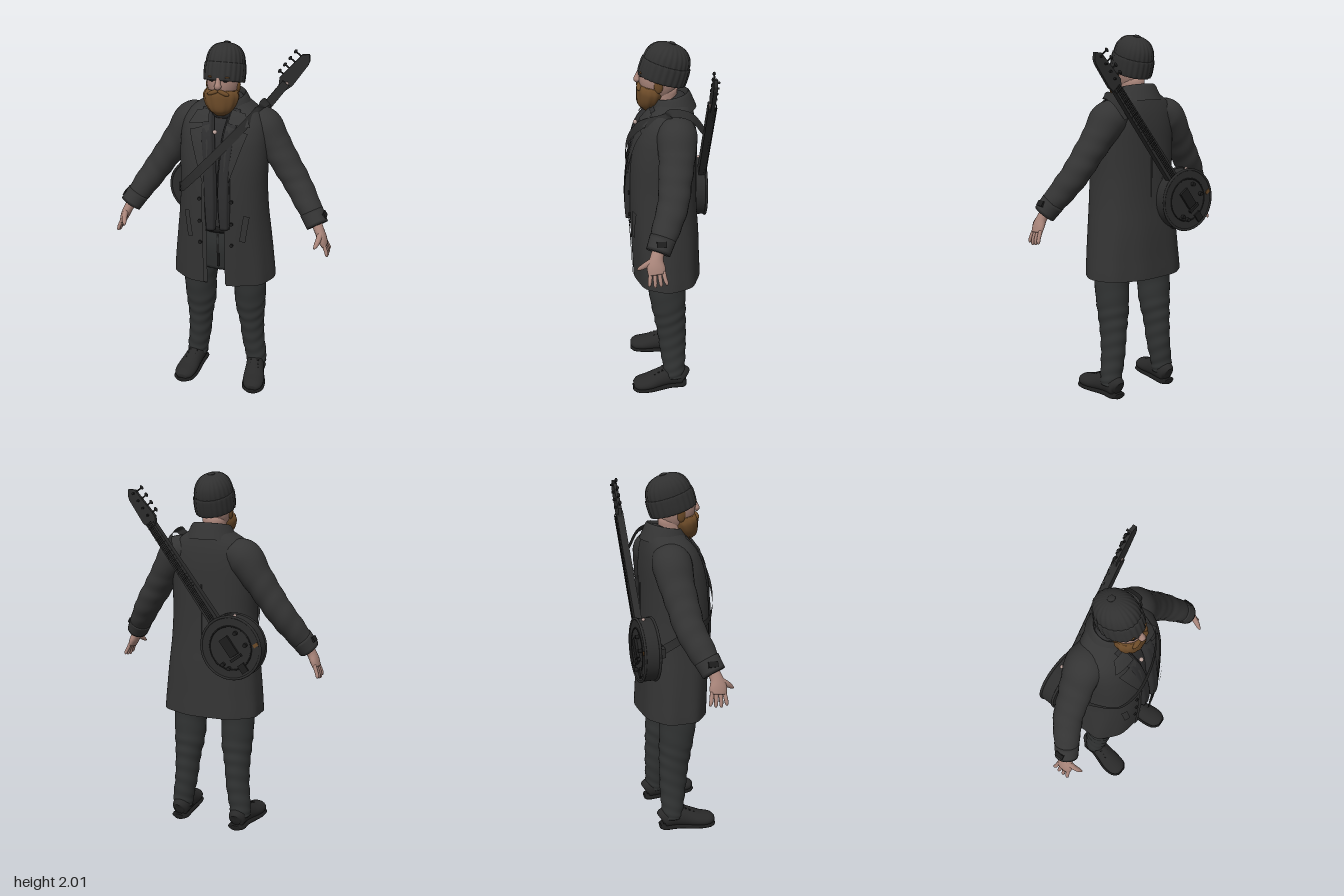
import * as THREE from 'three';
import { mergeVertices } from 'three/addons/utils/BufferGeometryUtils.js';

const mat = (name, color, side = THREE.FrontSide) => new THREE.MeshStandardMaterial({ name, color, side });
const V = (x, y, z) => new THREE.Vector3(x, y, z);

// Smooth surface from a rule fn(u, v) -> point
function grid(fn, nu, nv) {
  const pos = [], idx = [];
  for (let j = 0; j <= nv; j++) for (let i = 0; i <= nu; i++) pos.push(...fn(i / nu, j / nv).toArray());
  for (let j = 0; j < nv; j++) for (let i = 0; i < nu; i++) {
    const a = j * (nu + 1) + i, c = a + nu + 1;
    idx.push(a, a + 1, c + 1, a, c + 1, c);
  }
  let g = new THREE.BufferGeometry();
  g.setAttribute('position', new THREE.Float32BufferAttribute(pos, 3));
  g.setIndex(idx);
  g = mergeVertices(g, 1e-5);
  g.computeVertexNormals();
  return g;
}

// Catmull-Rom blend of table rows
function blend(rows, i, f) {
  const at = k => rows[Math.max(0, Math.min(rows.length - 1, k))];
  return rows[0].map((_, c) => {
    const [p, q, r, s] = [at(i - 1)[c], at(i)[c], at(i + 1)[c], at(i + 2)[c]];
    return q + 0.5 * f * (r - p + f * (2 * p - 5 * q + 4 * r - s + f * (3 * (q - r) + s - p)));
  });
}
function sample(rows, t) {
  const k = t * (rows.length - 1), i = Math.min(Math.floor(k), rows.length - 2);
  return blend(rows, i, k - i);
}

// Closed loft through rows of [x, y, z, radiusU, radiusV], capped at both ends
function loft(rows, nu = 20, nv = 24, { ref = V(0, 0, 1), wob = () => 1 } = {}) {
  const centre = t => { const s = sample(rows, t); return V(s[0], s[1], s[2]); };
  return grid((u, v) => {
    const t = Math.min(1, Math.max(0, (v * (nv + 2) - 1) / nv));
    const cap = v < 1e-6 || v > 1 - 1e-6 ? 0 : 1, s = sample(rows, t), a = (u % 1) * Math.PI * 2;
    const tan = centre(Math.min(1, t + 0.01)).sub(centre(Math.max(0, t - 0.01))).normalize();
    const U = tan.clone().cross(ref).normalize(), W = tan.clone().cross(U), k = cap * wob(a, t);
    return centre(t).addScaledVector(U, s[3] * k * Math.cos(a)).addScaledVector(W, s[4] * k * Math.sin(a));
  }, nu, nv + 2);
}

// Coat profile: y, half width, front z, back z, half opening
const COAT = [
  [0.69, 0.287, 0.2, -0.175, 0.055], [0.8, 0.278, 0.205, -0.17, 0.055], [0.95, 0.262, 0.212, -0.165, 0.06],
  [1.1, 0.245, 0.218, -0.155, 0.06], [1.25, 0.236, 0.218, -0.15, 0.055], [1.4, 0.238, 0.208, -0.148, 0.05],
  [1.52, 0.235, 0.185, -0.147, 0.05], [1.6, 0.222, 0.152, -0.14, 0.05], [1.65, 0.188, 0.115, -0.13, 0.05],
  [1.69, 0.13, 0.08, -0.12, 0.05], [1.715, 0.09, 0.06, -0.108, 0.05]];
const SQ = 0.85;
function coatAt(y) {
  let i = 0;
  while (i < COAT.length - 2 && y > COAT[i + 1][0]) i++;
  const f = (y - COAT[i][0]) / (COAT[i + 1][0] - COAT[i][0]);
  return blend(COAT, i, Math.max(0, Math.min(1, f)));
}
// Point on the coat front at x, y
function drape(x, y, off) {
  const [, rx, zf, zb] = coatAt(y), s = Math.pow(Math.min(Math.abs(x) / rx, 0.999), 1 / SQ), zc = (zf + zb) / 2;
  return V(x, y, zc + (zf - zc) * Math.pow(Math.sqrt(1 - s * s), SQ) + off);
}
function coatPoint(u, v) {
  const y = 0.69 + v * 1.025, [, rx, zf, zb, gap] = coatAt(y), zc = (zf + zb) / 2;
  const a0 = Math.asin(Math.pow(gap / rx, 1 / SQ)), a = a0 + u * (2 * Math.PI - 2 * a0);
  const p = n => Math.sign(n) * Math.pow(Math.abs(n), SQ);
  const fold = 1 + 0.015 * Math.max(0, 1 - v * 2) * Math.sin(a * 9);
  return V(rx * fold * p(Math.sin(a)), y, zc + (zf - zc) * fold * p(Math.cos(a)));
}

export function createModel() {
  const root = new THREE.Group();
  root.name = 'travellingMusician';
  const M = {
    coat: mat('coatWool', 0x343434, THREE.DoubleSide), hat: mat('hatKnit', 0x303030), pants: mat('trouserCloth', 0x313333),
    boot: mat('bootLeather', 0x292929), scarf: mat('scarfCloth', 0x2d2d2e), lute: mat('instrumentBlack', 0x2c2c2c, THREE.DoubleSide),
    dark: mat('darkDetail', 0x1c1c1c), skin: mat('skin', 0xa9857a), hair: mat('beardHair', 0x6b4a28), pin: mat('palePin', 0xb9a19a)
  };
  const add = (parent, name, geo, m, x = 0, y = 0, z = 0) => {
    const o = new THREE.Mesh(geo, m);
    o.name = name; o.position.set(x, y, z); parent.add(o);
    return o;
  };
  const box = (w, h, d) => new THREE.BoxGeometry(w, h, d);
  const disc = (r, d, n = 16) => new THREE.CylinderGeometry(r, r, d, n).rotateX(Math.PI / 2);
  // Four-corner cloth piece laid on the coat: bottom left, bottom right, top left, top right
  const patch = (name, m, [a, b, c, d], off) => add(root, name, grid((u, v) => {
    const mix = k => (a[k] * (1 - u) + b[k] * u) * (1 - v) + (c[k] * (1 - u) + d[k] * u) * v;
    return drape(mix(0), mix(1), off);
  }, 8, 12), m);

  // Coat with collar, shirt and hips beneath
  add(root, 'coat', grid(coatPoint, 72, 48), M.coat);
  const COLLAR = [[0.1, 1.67], [0.094, 1.73], [0.098, 1.75], [0.112, 1.735], [0.145, 1.665]];
  add(root, 'coatCollar', grid((u, v) => {
    const [r, y] = sample(COLLAR, v), a = 0.55 + u * (2 * Math.PI - 1.1);
    return V(r * Math.sin(a), y - 0.035 * (1 + Math.cos(a)) / 2, -0.015 + r * 0.92 * Math.cos(a));
  }, 36, 12), M.coat);
  add(root, 'shirt', loft([[0, 0.98, 0.02, 0.19, 0.15], [0, 1.3, 0.025, 0.2, 0.165], [0, 1.5, 0.01, 0.19, 0.15],
    [0, 1.61, -0.01, 0.12, 0.11], [0, 1.65, -0.01, 0.07, 0.08]], 28, 20), M.scarf);
  add(root, 'hips', loft([[0, 1.03, 0.015, 0.195, 0.155], [0, 0.9, 0.015, 0.2, 0.155], [0, 0.75, 0.015, 0.17, 0.12]], 28, 10), M.pants);
  add(root, 'belt', loft([[0, 1.035, 0.015, 0.202, 0.162], [0, 1.0, 0.015, 0.202, 0.162]], 28, 2), M.dark);
  add(root, 'trouserFly', box(0.012, 0.2, 0.008), M.dark, 0, 0.89, 0.168);
  add(root, 'backSeam', box(0.006, 0.45, 0.006), M.coat, 0, 1.2, -0.153);

  for (const s of [1, -1]) {
    const side = s > 0 ? 'left' : 'right', m = rows => rows.map(r => [r[0] * s, ...r.slice(1)]), X = pts => pts.map(p => [p[0] * s, p[1]]);
    // Lapels, coat edge, pocket and buttons
    patch(side + 'Lapel', M.coat, X([[0.045, 1.28], [0.06, 1.28], [0.045, 1.61], [0.155, 1.57]]), 0.012);
    patch(side + 'CollarPoint', M.coat, X([[0.05, 1.62], [0.165, 1.6], [0.06, 1.68], [0.13, 1.66]]), 0.018);
    patch(side + 'CoatEdge', M.coat, X([[0.05, 0.7], [0.075, 0.7], [0.05, 1.3], [0.075, 1.3]]), 0.007);
    patch(side + 'PocketFlap', M.coat, X([[0.13, 0.98], [0.16, 0.97], [0.15, 1.13], [0.18, 1.12]]), 0.012);
    for (const y of [0.95, 1.08, 1.21]) add(root, side + 'CoatButton', disc(0.01, 0.008, 12), M.dark, ...drape(s * 0.088, y, 0.008).toArray());

    // Sleeve and cuff
    const creases = (a, t) => 1 + 0.022 * Math.sin(t * 46 + 2 * Math.cos(a)) * (t > 0.35 ? 1 : 0.25);
    add(root, side + 'Sleeve', loft(m([[0.1, 1.6, -0.03, 0.06, 0.08], [0.19, 1.565, -0.03, 0.1, 0.105], [0.26, 1.475, -0.025, 0.084, 0.095],
      [0.33, 1.37, -0.01, 0.077, 0.086], [0.395, 1.275, 0.005, 0.073, 0.08], [0.46, 1.18, 0.043, 0.067, 0.073], [0.527, 1.08, 0.088, 0.055, 0.058]]), 24, 48, { wob: creases }), M.coat);
    add(root, side + 'Cuff', loft(m([[0.49, 1.137, 0.064, 0.064, 0.068], [0.53, 1.074, 0.092, 0.06, 0.063]]), 24, 4), M.coat);
    add(root, side + 'CuffTab', box(0.012, 0.03, 0.05), M.dark, s * 0.562, 1.135, 0.075).rotation.z = s * 0.55;

    // Hand
    const hand = new THREE.Group();
    hand.name = side + 'Hand'; root.add(hand);
    add(hand, 'palm', loft(m([[0.52, 1.09, 0.085, 0.028, 0.032], [0.542, 1.05, 0.1, 0.026, 0.034], [0.56, 1.01, 0.104, 0.024, 0.046],
      [0.574, 0.975, 0.1, 0.018, 0.044]]), 16, 12), M.skin);
    for (let k = 0; k < 4; k++) {
      const f = k - 1.5, tip = 0.91 + 0.008 * Math.abs(f - 0.3);
      add(hand, 'finger', loft(m([[0.57, 0.99, 0.1 + f * 0.021, 0.011, 0.011], [0.588, 0.95, 0.098 + f * 0.026, 0.01, 0.0105],
        [0.594, tip + 0.01, 0.096 + f * 0.029, 0.009, 0.009], [0.596, tip, 0.096 + f * 0.029, 0.004, 0.004]]), 10, 8), M.skin);
    }
    add(hand, 'thumb', loft(m([[0.55, 1.045, 0.115, 0.016, 0.016], [0.548, 1.02, 0.15, 0.016, 0.015], [0.54, 0.998, 0.178, 0.012, 0.012],
      [0.533, 0.985, 0.195, 0.005, 0.005]]), 10, 10, { ref: V(1, 0, 0) }), M.skin);

    // Trouser leg with folds gathering at the ankle
    add(root, side + 'Leg', loft(m([[0.1, 0.95, 0.01, 0.1, 0.13], [0.125, 0.8, 0.02, 0.105, 0.115], [0.146, 0.65, 0.018, 0.093, 0.106],
      [0.148, 0.5, 0.006, 0.087, 0.094], [0.155, 0.38, -0.006, 0.072, 0.084], [0.163, 0.25, -0.014, 0.065, 0.075],
      [0.18, 0.13, -0.02, 0.061, 0.064], [0.185, 0.07, -0.02, 0.057, 0.06]]), 28, 64,
    { wob: (a, t) => 1 + (t > 0.4 ? 0.03 : 0.008) * Math.sin(t * 70 + 2.5 * Math.sin(a)) }), M.pants);

    // Boot, sole and laces
    const ref = V(0, 1, 0);
    add(root, side + 'Boot', loft(m([[0.18, 0.06, -0.09, 0.026, 0.04], [0.18, 0.068, -0.07, 0.048, 0.058], [0.183, 0.075, 0, 0.05, 0.065],
      [0.192, 0.064, 0.06, 0.054, 0.055], [0.204, 0.047, 0.13, 0.062, 0.042], [0.211, 0.04, 0.19, 0.054, 0.034], [0.213, 0.035, 0.218, 0.026, 0.018]]), 24, 28, { ref }), M.boot);
    add(root, side + 'Sole', loft(m([[0.18, 0.014, -0.094, 0.03, 0.014], [0.18, 0.014, -0.07, 0.052, 0.015], [0.185, 0.014, 0.01, 0.052, 0.015],
      [0.203, 0.014, 0.12, 0.067, 0.015], [0.211, 0.014, 0.19, 0.06, 0.015], [0.213, 0.016, 0.222, 0.03, 0.012]]), 20, 20, { ref }), M.dark);
    for (let k = 0; k < 3; k++) add(root, side + 'Lace', box(0.05, 0.008, 0.01), M.dark, s * (0.19 + k * 0.004), 0.121 - k * 0.011, 0.05 + k * 0.022).rotation.x = 0.4;
  }

  // Scarf round the neck with two hanging tails
  const wrap = add(root, 'scarfWrap', new THREE.TorusGeometry(0.078, 0.032, 14, 36), M.scarf, 0, 1.68, 0.01);
  wrap.rotation.x = Math.PI / 2 + 0.35;
  const rib = a => 1 + 0.12 * Math.sin(a * 5);
  add(root, 'scarfTailRight', loft([[-0.075, 1.67, 0.07, 0.03, 0.02], [-0.055, 1.55, 0.165, 0.035, 0.02], [-0.035, 1.35, 0.205, 0.034, 0.022],
    [-0.027, 1.18, 0.222, 0.032, 0.022], [-0.025, 1.04, 0.222, 0.026, 0.018]], 24, 24, { wob: rib }), M.scarf);
  add(root, 'scarfTailLeft', loft([[0.075, 1.67, 0.07, 0.03, 0.02], [0.06, 1.55, 0.165, 0.035, 0.02], [0.045, 1.35, 0.205, 0.034, 0.022],
    [0.046, 1.18, 0.222, 0.032, 0.022], [0.05, 1.05, 0.222, 0.026, 0.018]], 24, 24, { wob: rib }), M.scarf);
  add(root, 'pendant', new THREE.SphereGeometry(0.012, 12, 8), M.pin, -0.012, 1.575, 0.175);

  // Head, face and beard
  add(root, 'neck', loft([[0, 1.6, 0.03, 0.06, 0.07], [0, 1.78, 0.02, 0.065, 0.07]], 20, 4), M.skin);
  add(root, 'head', new THREE.SphereGeometry(1, 32, 24).scale(0.086, 0.13, 0.106), M.skin, 0, 1.825, 0.048);
  add(root, 'nose', loft([[0, 1.865, 0.142, 0.01, 0.012], [0, 1.83, 0.156, 0.013, 0.016], [0, 1.812, 0.16, 0.019, 0.02], [0, 1.8, 0.154, 0.012, 0.01]], 14, 10), M.skin);
  for (const s of [1, -1]) {
    add(root, 'eye', new THREE.SphereGeometry(1, 12, 8).scale(0.014, 0.005, 0.005), M.dark, s * 0.034, 1.838, 0.145);
    add(root, 'eyebrow', new THREE.SphereGeometry(1, 12, 8).scale(0.021, 0.005, 0.007), M.hair, s * 0.036, 1.857, 0.142);
    add(root, 'sideburn', new THREE.SphereGeometry(1, 12, 10).scale(0.012, 0.04, 0.024), M.hair, s * 0.079, 1.795, 0.055);
    add(root, 'moustache', new THREE.SphereGeometry(1, 12, 8).scale(0.034, 0.012, 0.014), M.hair, s * 0.026, 1.779, 0.153).rotation.z = -s * 0.35;
  }
  add(root, 'beard', loft([[0, 1.645, 0.115, 0.018, 0.018], [0, 1.665, 0.11, 0.05, 0.045], [0, 1.7, 0.106, 0.078, 0.062], [0, 1.74, 0.096, 0.093, 0.073],
    [0, 1.765, 0.09, 0.089, 0.072], [0, 1.778, 0.088, 0.08, 0.063]], 48, 20, { wob: (a, t) => 1 + 0.03 * Math.sin(a * 11 + t * 5) }), M.hair);

  // Ribbed knit hat, tipped back
  const hat = new THREE.Group();
  hat.name = 'knitHat'; hat.position.set(0, 1.86, 0.02); hat.rotation.x = -0.3; root.add(hat);
  const knit = (rows, ribs, depth) => grid((u, v) => {
    const [r, y] = sample(rows, v), a = (u % 1) * Math.PI * 2, k = Math.max(0, r) * (1 + depth * Math.cos(a * ribs));
    return V(0.1 * k * Math.sin(a), y, 0.124 * k * Math.cos(a));
  }, 144, 20);
  add(hat, 'hatCrown', knit([[0.98, -0.03], [1.0, 0.03], [0.97, 0.065], [0.87, 0.095], [0.66, 0.122], [0.36, 0.137], [0, 0.142]], 24, 0.018), M.hat);
  add(hat, 'hatCuff', knit([[0.88, -0.05], [1.02, -0.056], [1.06, -0.03], [1.06, 0.015], [1.03, 0.036], [0.94, 0.036]], 24, 0.018), M.hat);
  add(hat, 'hatTip', new THREE.SphereGeometry(0.02, 14, 8).scale(1, 0.35, 1), M.hat, 0, 0.142, 0);

  // Strap across the chest
  const pts = [V(-0.26, 1.1, -0.15), V(-0.268, 1.15, -0.05), V(-0.25, 1.2, 0.06)];
  for (let k = 0; k <= 8; k++) pts.push(drape(-0.2 + k * 0.0475, 1.245 + k * 0.052, 0.024));
  pts.push(V(0.2, 1.69, 0), V(0.205, 1.67, -0.1), V(0.17, 1.58, -0.17));
  const path = new THREE.CatmullRomCurve3(pts);
  add(root, 'strap', grid((u, v) => {
    const p = path.getPoint(v), n = V(p.x * 0.5, Math.max(0, p.y - 1.6), p.z - 0.02).normalize();
    return p.addScaledVector(path.getTangent(v).cross(n).normalize(), (u - 0.5) * 0.046);
  }, 2, 60), M.lute);

  // Round-bodied stringed instrument slung on the back, played face towards -z
  const lute = new THREE.Group();
  lute.name = 'stringedInstrument'; lute.position.set(-0.2, 1.115, -0.18); lute.rotation.z = -0.6435; root.add(lute);
  add(lute, 'body', disc(0.168, 0.084, 48), M.lute);
  for (const z of [-0.04, 0.04]) add(lute, 'rimHoop', new THREE.TorusGeometry(0.168, 0.007, 8, 48), M.lute, 0, 0, z);
  add(lute, 'faceRing', new THREE.TorusGeometry(0.118, 0.004, 6, 40), M.dark, 0, 0, -0.042);
  add(lute, 'pickup', box(0.055, 0.11, 0.016), M.dark, 0, 0.01, -0.048);
  add(lute, 'bridge', box(0.07, 0.016, 0.024), M.dark, 0, -0.06, -0.046);
  add(lute, 'tailpiece', box(0.04, 0.05, 0.012), M.dark, 0, -0.125, -0.046);
  for (const [x, y] of [[0.085, -0.05], [0.07, -0.085], [-0.085, -0.03], [-0.075, 0.05]]) add(lute, 'knob', disc(0.011, 0.02, 12), M.dark, x, y, -0.05);
  add(lute, 'inlay', box(0.03, 0.018, 0.006), M.hair, -0.133, -0.06, -0.043);
  add(lute, 'bodyPin', disc(0.012, 0.008, 12), M.pin, -0.03, 0.135, 0.045);
  add(lute, 'rimPin', new THREE.SphereGeometry(0.01, 10, 8), M.pin, -0.11, 0.128, -0.01);
  add(root, 'strapBlock', box(0.07, 0.05, 0.05), M.lute, -0.27, 1.12, -0.12);
  const plate = (name, outline, d, z) => add(lute, name, new THREE.ExtrudeGeometry(new THREE.Shape(outline.map(p => new THREE.Vector2(...p))),
    { depth: d, bevelEnabled: false }), M.lute, 0, 0, z);
  plate('neck', [[-0.03, 0.12], [0.03, 0.12], [0.022, 0.8], [-0.022, 0.8]], 0.028, -0.024);
  plate('fretboard', [[-0.031, 0.1], [0.031, 0.1], [0.023, 0.78], [-0.023, 0.78]], 0.01, -0.034);
  plate('headstock', [[-0.022, 0.76], [0.022, 0.76], [0.036, 0.81], [0.03, 0.95], [0.022, 0.975], [-0.002, 1.0], [-0.03, 0.975], [-0.046, 0.8]], 0.02, -0.026);
  for (let k = 0; k < 16; k++) add(lute, 'fret', box(0.05 - k * 0.0005, 0.003, 0.003), M.dark, 0, 0.76 - 0.72 * (1 - Math.pow(2, -k / 14)), -0.035);
  for (let k = 0; k < 4; k++) {
    const y = 0.825 + k * 0.046, x = (k - 1.5) * 0.009;
    add(lute, 'string', box(0.002, 0.9, 0.002), M.dark, x, 0.34, -0.04);
    add(lute, 'pegShaft', box(0.035, 0.007, 0.007), M.dark, -0.05, y, -0.016);
    add(lute, 'pegButton', new THREE.SphereGeometry(1, 10, 8).scale(0.008, 0.013, 0.008), M.dark, -0.068, y, -0.016);
    add(lute, 'stringPost', disc(0.006, 0.024, 10), M.dark, -0.015, y, -0.028);
  }
  add(lute, 'headstockPin', disc(0.009, 0.006, 12), M.pin, 0.005, 0.8, -0.004);
  return root;
}
